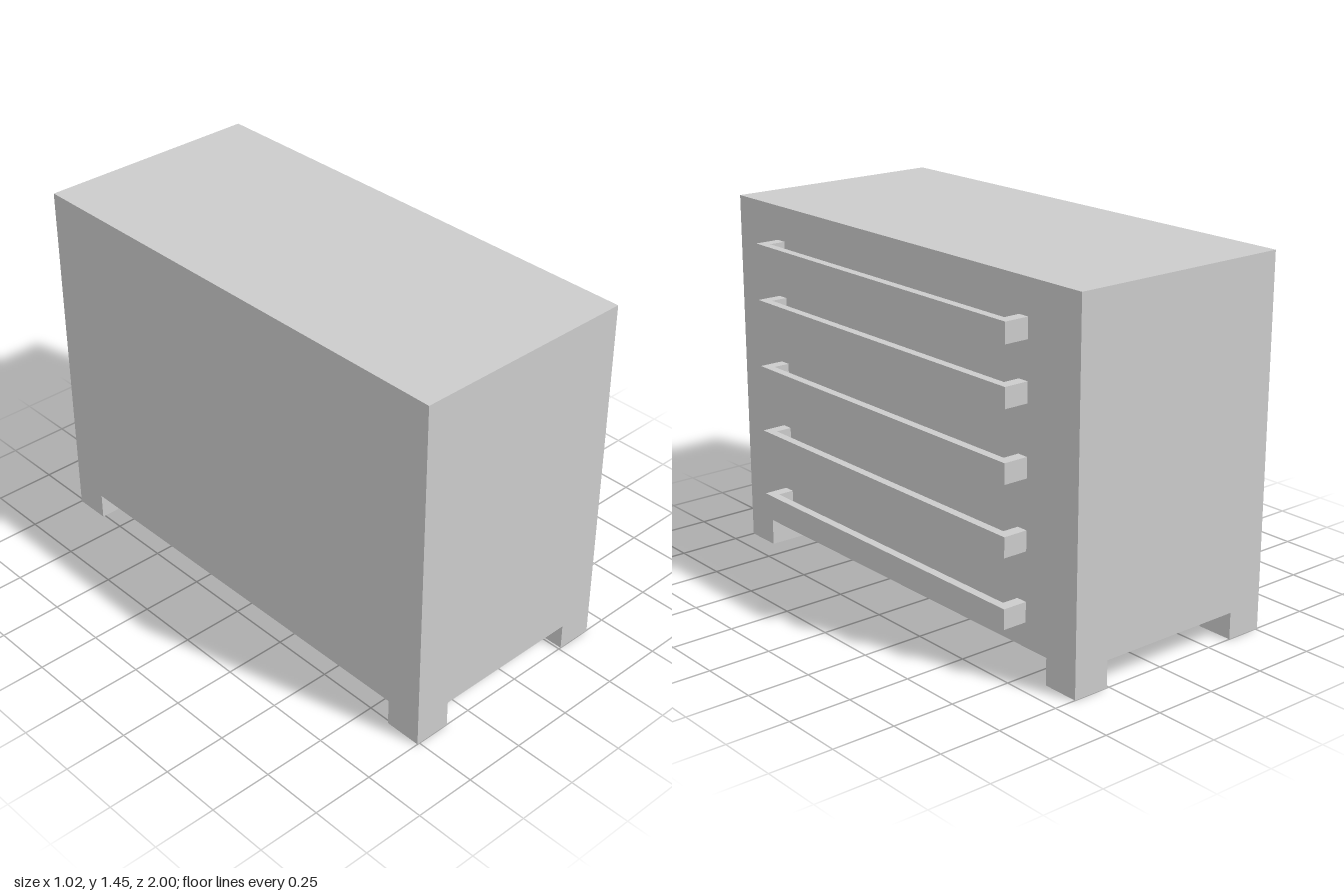
import * as THREE from 'three';

const material = new THREE.MeshStandardMaterial({ color: 0xcccccc, flatShading: true });

// Box given by its minimum and maximum corners
function box(name, [x0, y0, z0], [x1, y1, z1]) {
  const mesh = new THREE.Mesh(new THREE.BoxGeometry(x1 - x0, y1 - y0, z1 - z0), material);
  mesh.name = name;
  mesh.position.set((x0 + x1) / 2, (y0 + y1) / 2, (z0 + z1) / 2);
  return mesh;
}

// U-shaped pull: outline in x and z, extruded upwards
function handleGeometry(xBack, xFront, halfLength, post, bar, height) {
  const outline = new THREE.Shape([
    [xBack, -halfLength], [xFront, -halfLength], [xFront, halfLength], [xBack, halfLength],
    [xBack, halfLength - post], [xFront - bar, halfLength - post],
    [xFront - bar, post - halfLength], [xBack, post - halfLength],
  ].map(([x, z]) => new THREE.Vector2(x, z)));
  return new THREE.ExtrudeGeometry(outline, { depth: height, bevelEnabled: false })
    .rotateX(-Math.PI / 2)
    .translate(0, -height / 2, 0);
}

export function createModel() {
  const model = new THREE.Group();
  model.name = 'drawerCabinet';

  const left = 0.41, right = -0.51, foot = 0.15, footHeight = 0.106;

  // Cabinet body
  model.add(box('cabinetBody', [right, footHeight, -1], [left, 1.446, 1]));

  // Corner feet
  for (const x of [right, left - foot]) {
    for (const z of [-1, 1 - foot]) {
      model.add(box('foot', [x, 0, z], [x + foot, footHeight, z + foot]));
    }
  }

  // Drawer handles, all on the +x side
  const pull = handleGeometry(left, 0.51, 0.74, 0.045, 0.034, 0.078);
  for (const y of [0.241, 0.509, 0.777, 1.046, 1.271]) {
    const handle = new THREE.Mesh(pull, material);
    handle.name = 'drawerHandle';
    handle.position.y = y;
    model.add(handle);
  }

  return model;
}
